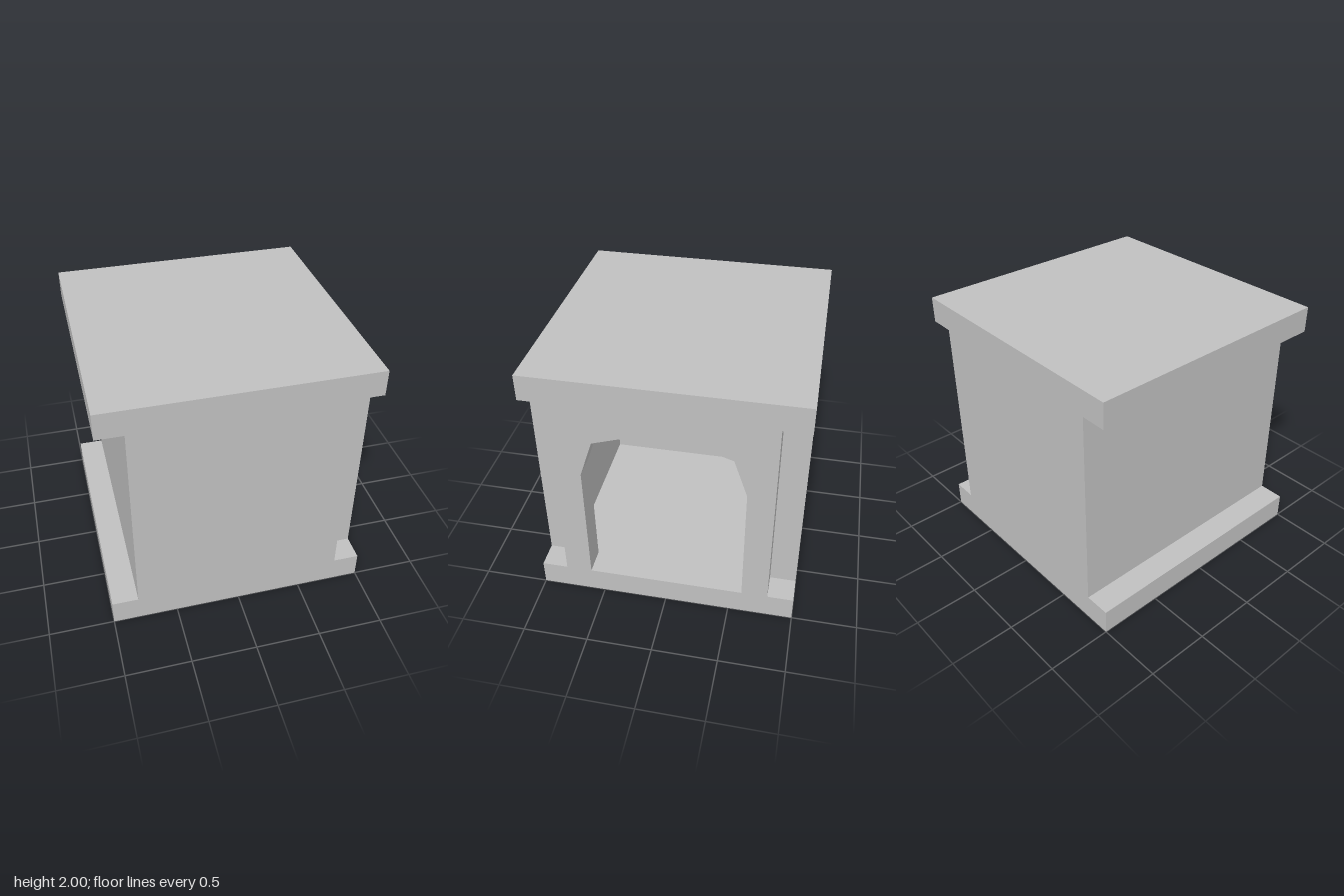
import * as THREE from 'three';

export function createModel() {
  const group = new THREE.Group();
  const stone = new THREE.MeshStandardMaterial({ color: 0xc0c0c0 });
  stone.name = 'grey stone';

  function add(name, geometry) {
    const mesh = new THREE.Mesh(geometry, stone);
    mesh.name = name;
    group.add(mesh);
    return mesh;
  }
  function extrude(points, depth) {
    const shape = new THREE.Shape(points.map(([x, y]) => new THREE.Vector2(x, y)));
    return new THREE.ExtrudeGeometry(shape, { depth, bevelEnabled: false });
  }

  // Floor and roof slabs
  add('floorSlab', new THREE.BoxGeometry(2, 0.2, 2)).position.y = 0.1;
  add('roofSlab', new THREE.BoxGeometry(2, 0.2, 2)).position.y = 1.9;

  // Front, back and closed side walls as one U-shaped plan, chamfered beside the doorway
  const half = [[-0.6, 0.8], [0.6, 0.8], [0.8, 0.6], [0.8, 1], [-0.8, 1]];
  const plan = [...half, ...half.map(([x, z]) => [x, -z]).reverse()];
  const walls = extrude(plan, 1.6);
  walls.rotateX(-Math.PI / 2);
  walls.translate(0, 0.2, 0);
  add('chamberWalls', walls);

  // Doorway wall between the corner notches, with a faceted arch
  const side = [[0.8, 1.8], [0.8, 0.2], [0.6, 0.2], [0.6, 1.2], [0.5, 1.5], [0.2, 1.6]];
  const outline = [...side, ...side.map(([z, y]) => [-z, y]).reverse()];
  const arch = extrude(outline, 0.2);
  arch.rotateY(Math.PI / 2);
  arch.translate(0.8, 0, 0);
  add('archedDoorway', arch);

  return group;
}
